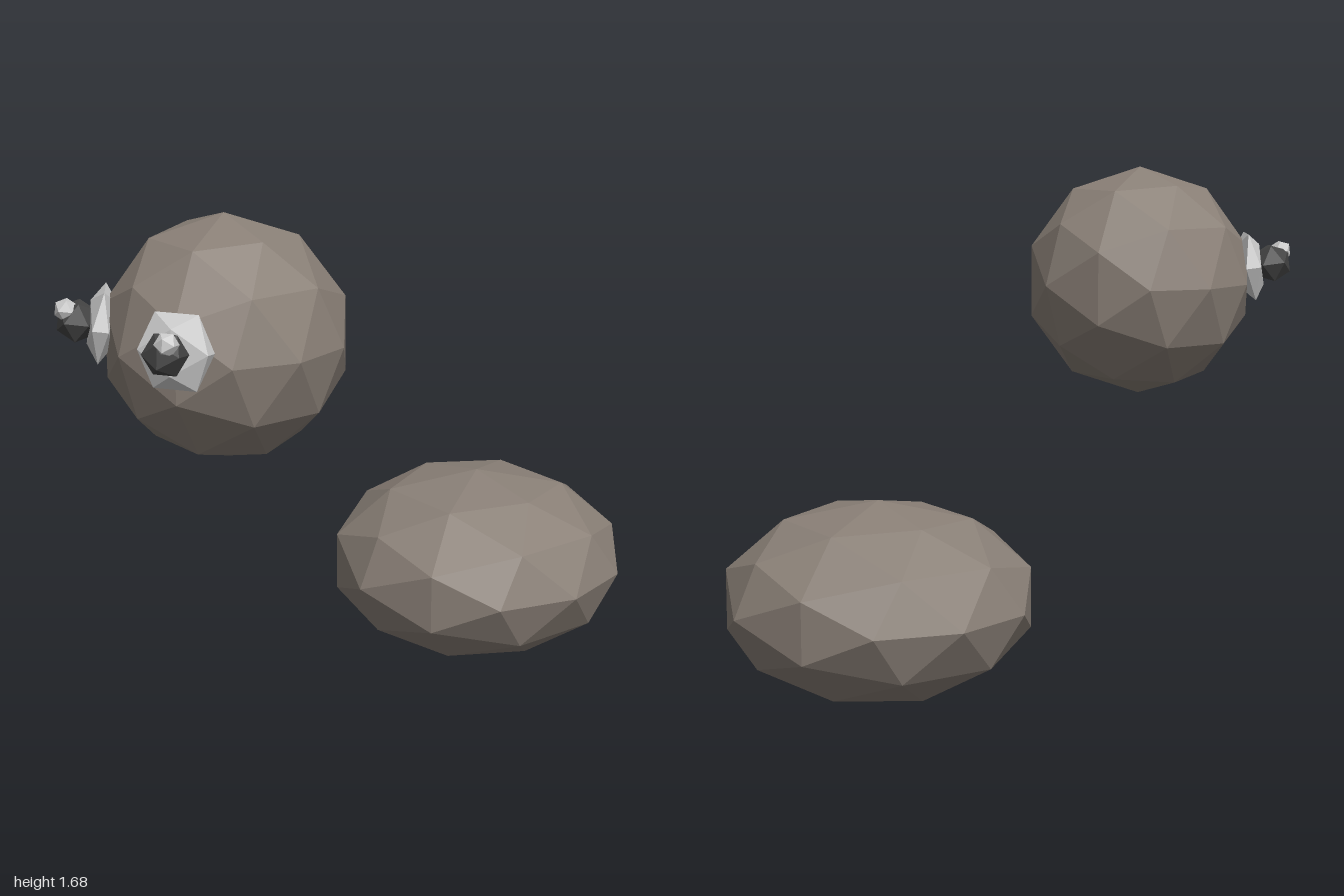
import * as THREE from 'three';

const material = (color) => new THREE.MeshStandardMaterial({ color, flatShading: true });

// Faceted ball, optionally squashed
function ball(name, radius, detail, mat, position, scale = [1, 1, 1]) {
  const mesh = new THREE.Mesh(new THREE.IcosahedronGeometry(radius, detail), mat);
  mesh.name = name;
  mesh.position.set(...position);
  mesh.scale.set(...scale);
  return mesh;
}

export function createModel() {
  const model = new THREE.Group();
  model.name = 'creature';

  const skin = material(0x8a8077);
  const white = material(0xcccccc);
  const dark = material(0x444444);

  // Flattened body with the head floating above and in front
  const headCentre = new THREE.Vector3(0, 1.298, 0.55);
  model.add(ball('body', 0.515, 1, skin, [0, 0.325, -0.485], [1, 0.625, 1]));
  model.add(ball('head', 0.387, 1, skin, headCentre.toArray()));

  // Eyes face outward from the head centre
  for (const side of [1, -1]) {
    const eye = new THREE.Group();
    eye.name = side > 0 ? 'leftEye' : 'rightEye';
    eye.position.set(side * 0.207, 1.348, 0.867);
    eye.lookAt(eye.position.clone().multiplyScalar(2).sub(headCentre));
    eye.add(ball('eyeWhite', 0.132, 0, white, [0, 0, 0], [1, 1, 0.36]));
    eye.add(ball('pupil', 0.07, 0, dark, [0, 0, 0.075]));
    eye.add(ball('highlight', 0.038, 0, white, [0.02, 0.035, 0.112]));
    model.add(eye);
  }
  return model;
}
